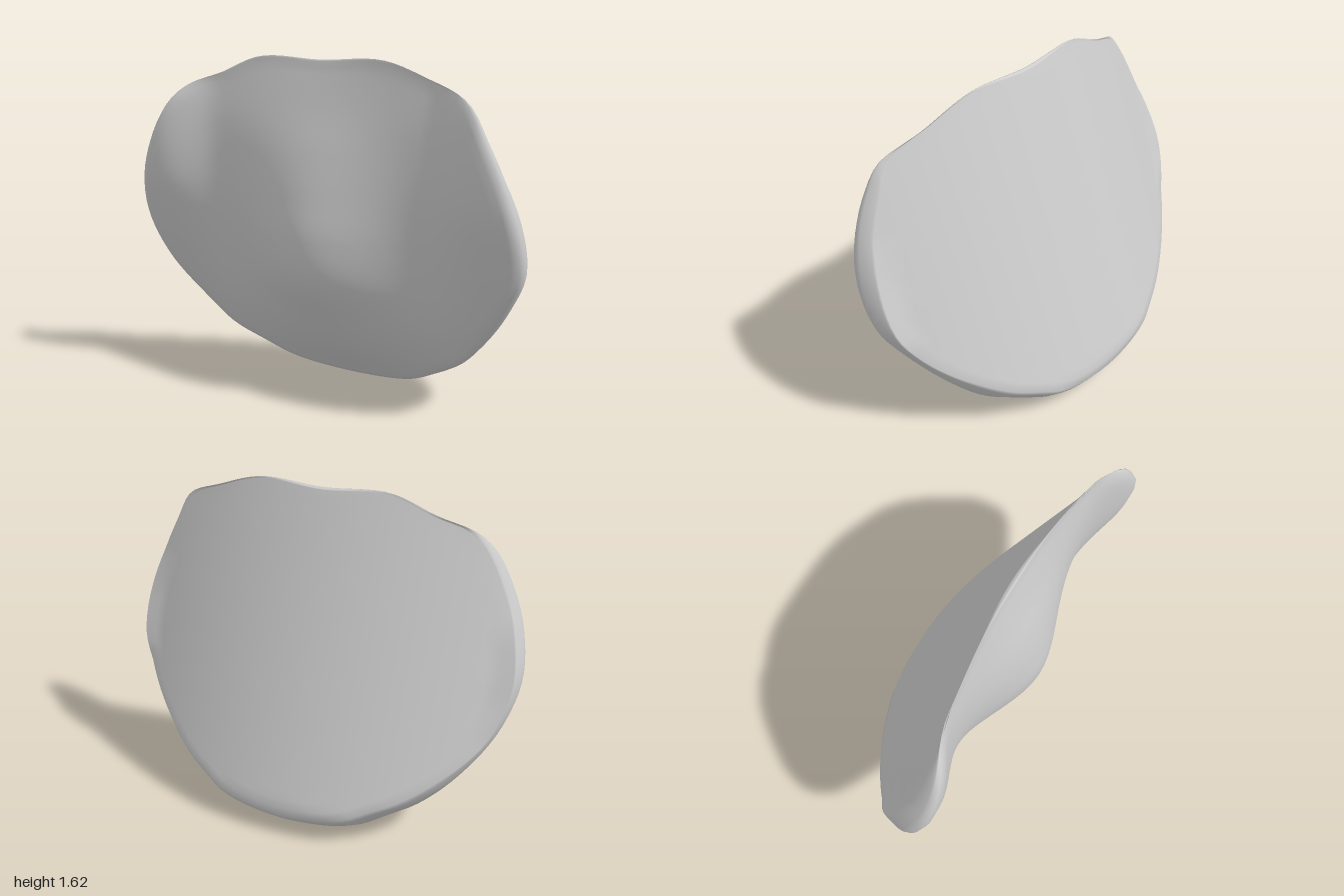
import * as THREE from 'three';
import { mergeVertices } from 'three/addons/utils/BufferGeometryUtils.js';

const CENTRE_Y = 0.8;

// Smooth profile z(y) through a few [y, z] points
function profile(points) {
  const n = points.length - 1;
  const slope = points.map((_, i) => {
    const a = points[Math.max(i - 1, 0)], b = points[Math.min(i + 1, n)];
    return (b[1] - a[1]) / (b[0] - a[0]);
  });
  return (y) => {
    const v = THREE.MathUtils.clamp(y, points[0][0], points[n][0]);
    let i = 0;
    while (i < n - 1 && v > points[i + 1][0]) i++;
    const h = points[i + 1][0] - points[i][0];
    const t = (v - points[i][0]) / h, t2 = t * t, t3 = t2 * t;
    return (2 * t3 - 3 * t2 + 1) * points[i][1] + (t3 - 2 * t2 + t) * h * slope[i]
      + (3 * t2 - 2 * t3) * points[i + 1][1] + (t3 - t2) * h * slope[i + 1];
  };
}

// Front: central bulge, hollow beside it, raised side wings
const bulge = profile([[0, -0.15], [0.2, 0.06], [0.4, 0.21], [0.6, 0.33], [0.8, 0.36], [1, 0.335], [1.2, 0.29], [1.4, 0.23], [1.62, 0.17]]);
const hollow = profile([[0.05, -0.1], [0.2, 0.01], [0.4, 0.11], [0.7, 0.19], [1, 0.235], [1.3, 0.235], [1.58, 0.2]]);
const wing = profile([[0.3, 0.03], [0.5, 0.13], [0.8, 0.25], [1.05, 0.32], [1.4, 0.325], [1.52, 0.28]]);

function frontZ(x, y) {
  const ax = Math.abs(x);
  if (ax < 0.55) {
    return THREE.MathUtils.lerp(bulge(y), hollow(y), THREE.MathUtils.smoothstep(ax, 0, 0.55));
  }
  return THREE.MathUtils.lerp(hollow(y), wing(y), THREE.MathUtils.smoothstep(ax, 0.55, 0.86));
}

// Back: leaning plane, bent forward at both sides
function backZ(x, y) {
  return -0.42 + 0.362 * Math.max(y, 0.17) - 0.005 + Math.min(0.28 * x * x, 0.23);
}

function padGeometry() {
  // Outer edge, counter-clockwise
  const outline = new THREE.CatmullRomCurve3([
    [1, 0.82], [0.985, 0.97], [0.94, 1.13], [0.86, 1.31], [0.77, 1.455], [0.55, 1.55], [0.32, 1.62], [0, 1.612],
    [-0.32, 1.62], [-0.53, 1.54], [-0.7, 1.48], [-0.8, 1.39], [-0.9, 1.21], [-0.97, 1.02], [-1, 0.8],
    [-0.94, 0.57], [-0.81, 0.37], [-0.64, 0.2], [-0.5, 0.12], [-0.34, 0.04], [-0.1, 0.005], [0.1, 0.005],
    [0.34, 0.04], [0.5, 0.12], [0.64, 0.21], [0.8, 0.39], [0.92, 0.57], [0.985, 0.7],
  ].map(([x, y]) => new THREE.Vector3(x, y, 0)), true);
  const edge = outline.getSpacedPoints(120).slice(0, 120);

  const rings = [];
  const addRing = (fn) => rings.push(edge.map(fn));
  const at = (p, s) => [p.x * s, CENTRE_Y + (p.y - CENTRE_Y) * s];
  // The back edge is drawn in more towards the bottom
  const backScale = (p) => 0.975 - 0.12 * THREE.MathUtils.smoothstep(CENTRE_Y - p.y, 0.2, 0.8)
    + 0.015 * THREE.MathUtils.smoothstep(p.y, 1.3, 1.6);

  // Front face
  for (let i = 0; i <= 24; i++) {
    addRing((p) => {
      const [x, y] = at(p, 0.96 * i / 24);
      return [x, y, frontZ(x, y)];
    });
  }
  // Rounded rim: scale runs out to the edge and back in, depth runs front to back
  for (const [out, depth] of [[0.75, 0.09], [1, 0.28], [0.98, 0.45], [0.62, 0.72], [0.25, 0.92]]) {
    addRing((p) => {
      const inner = depth < 0.3 ? 0.96 : backScale(p);
      const [x, y] = at(p, inner + (1 - inner) * out);
      const [fx, fy] = at(p, 0.96), [bx, by] = at(p, backScale(p));
      return [x, y, THREE.MathUtils.lerp(frontZ(fx, fy), backZ(bx, by), depth)];
    });
  }
  // Back face
  for (let i = 16; i >= 0; i--) {
    addRing((p) => {
      const [x, y] = at(p, backScale(p) * i / 16);
      return [x, y, backZ(x, y)];
    });
  }

  const n = edge.length, index = [];
  for (let j = 0; j < rings.length - 1; j++) {
    for (let i = 0; i < n; i++) {
      const k = (i + 1) % n;
      const a = j * n + i, b = a + n, c = (j + 1) * n + k, d = j * n + k;
      if (j < rings.length - 2) index.push(a, b, c);
      if (j > 0) index.push(a, c, d);
    }
  }
  const geometry = new THREE.BufferGeometry();
  geometry.setAttribute('position', new THREE.Float32BufferAttribute(rings.flat(2), 3));
  geometry.setIndex(index);
  const merged = mergeVertices(geometry, 1e-5);
  merged.computeVertexNormals();
  return merged;
}

export function createModel() {
  const group = new THREE.Group();
  group.name = 'curvedShell';
  const pad = new THREE.Mesh(padGeometry(), new THREE.MeshStandardMaterial({ color: 0xcccccc, roughness: 0.8 }));
  pad.name = 'shellPlate';
  group.add(pad);
  return group;
}
